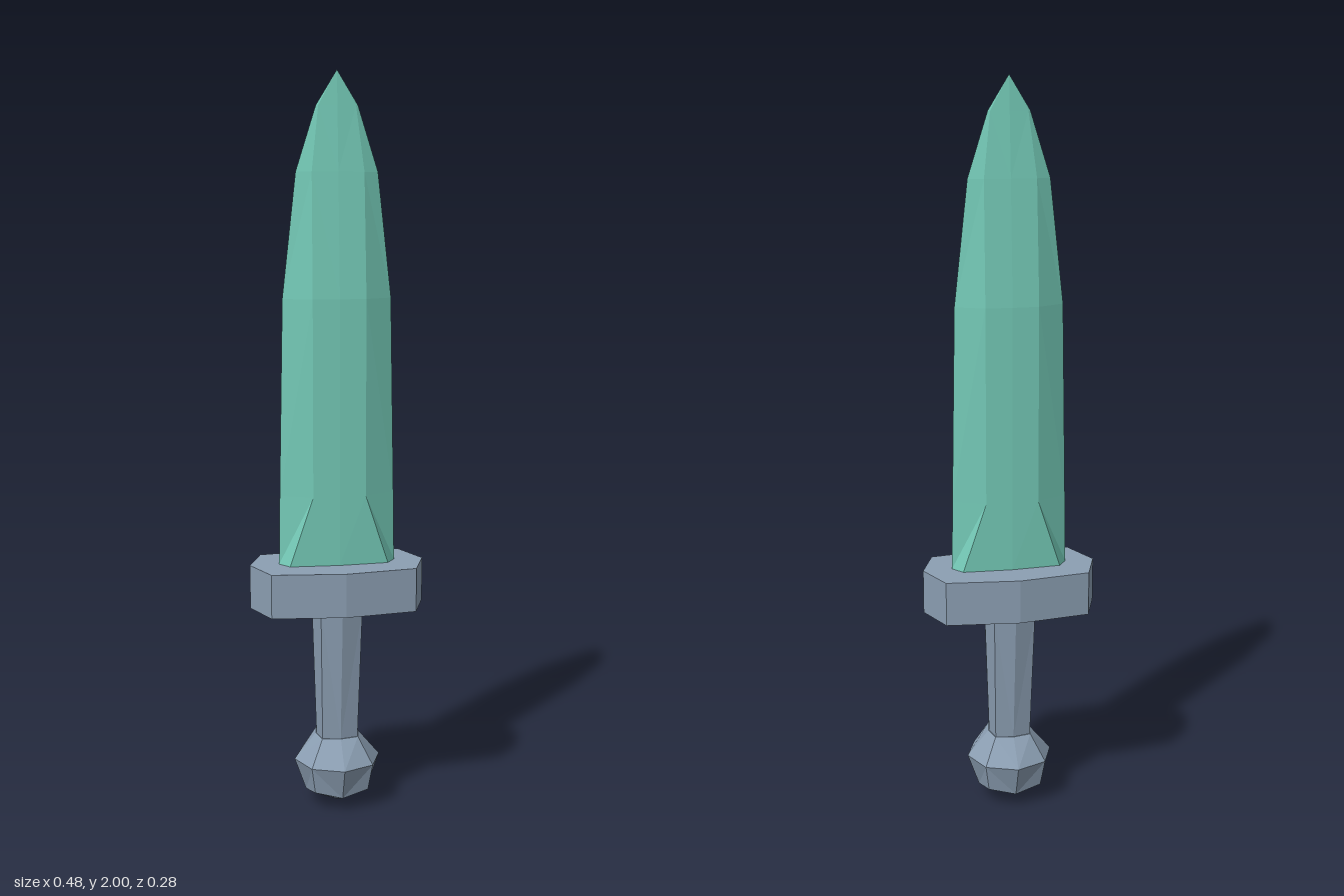
import * as THREE from 'three';

// Eight-sided ring: points on the axes (ax, az) alternate with corners (cx, cz).
// Corners may sit higher than the axis points by lift.
function ring([y, ax, cx, cz, az, lift = 0]) {
  return [
    [ax, y, 0], [cx, y + lift, cz], [0, y, az], [-cx, y + lift, cz],
    [-ax, y, 0], [-cx, y + lift, -cz], [0, y, -az], [cx, y + lift, -cz],
  ].map((p) => new THREE.Vector3(...p));
}

// Faceted solid skinned over rings from bottom to top, closed at both ends
function loft(sections) {
  const rings = sections.map(ring);
  const pos = [];
  const tri = (a, b, c) => {
    const area = b.clone().sub(a).cross(c.clone().sub(a)).length();
    if (area > 1e-8) for (const p of [a, b, c]) pos.push(p.x, p.y, p.z);
  };
  const low = new THREE.Vector3(0, sections[0][0], 0);
  const high = new THREE.Vector3(0, sections[sections.length - 1][0], 0);
  for (let i = 0; i < 8; i++) {
    const j = (i + 1) % 8;
    for (let k = 0; k < rings.length - 1; k++) {
      const a = rings[k], b = rings[k + 1];
      // mirror the diagonal on alternate sides to keep the facets symmetrical
      if (i % 2) {
        tri(a[i], b[i], a[j]);
        tri(a[j], b[i], b[j]);
      } else {
        tri(a[i], b[i], b[j]);
        tri(a[i], b[j], a[j]);
      }
    }
    const top = rings[rings.length - 1];
    tri(low, rings[0][i], rings[0][j]);
    tri(high, top[j], top[i]);
  }
  const geo = new THREE.BufferGeometry();
  geo.setAttribute('position', new THREE.Float32BufferAttribute(pos, 3));
  geo.computeVertexNormals();
  return geo;
}

export function createModel() {
  const group = new THREE.Group();
  const steel = new THREE.MeshStandardMaterial({ name: 'blueGreySteel', color: 0x8c9fb3, flatShading: true });
  const jade = new THREE.MeshStandardMaterial({ name: 'jadeGreen', color: 0x75cbb8, flatShading: true });

  const add = (name, material, sections) => {
    const mesh = new THREE.Mesh(loft(sections), material);
    mesh.name = name;
    group.add(mesh);
  };

  // Rows: height, axis x, corner x, corner z, axis z, corner lift
  add('blade', jade, [
    [0.69, 0.16, 0.135, 0.036, 0.044],
    [0.88, 0.157, 0.072, 0.041, 0.044],
    [1.41, 0.147, 0.072, 0.04, 0.043],
    [1.74, 0.11, 0.07, 0.018, 0.021],
    [1.91, 0.056, 0.05, 0.003, 0.007],
    [2.0, 0, 0, 0, 0],
  ]);

  add('crossguard', steel, [
    [0.57, 0.24, 0.197, 0.113, 0.138],
    [0.69, 0.24, 0.197, 0.113, 0.138],
  ]);

  add('grip', steel, [
    [0.2, 0.058, 0.049, 0.048, 0.058],
    [0.57, 0.07, 0.057, 0.072, 0.088],
  ]);

  // Rounded knob coming to a blunt point underneath
  add('pommel', steel, [
    [0, 0, 0, 0, 0],
    [0.038, 0.088, 0.074, 0.074, 0.088, 0.016],
    [0.128, 0.12, 0.085, 0.085, 0.12],
    [0.2, 0.06, 0.05, 0.05, 0.06],
  ]);

  return group;
}
